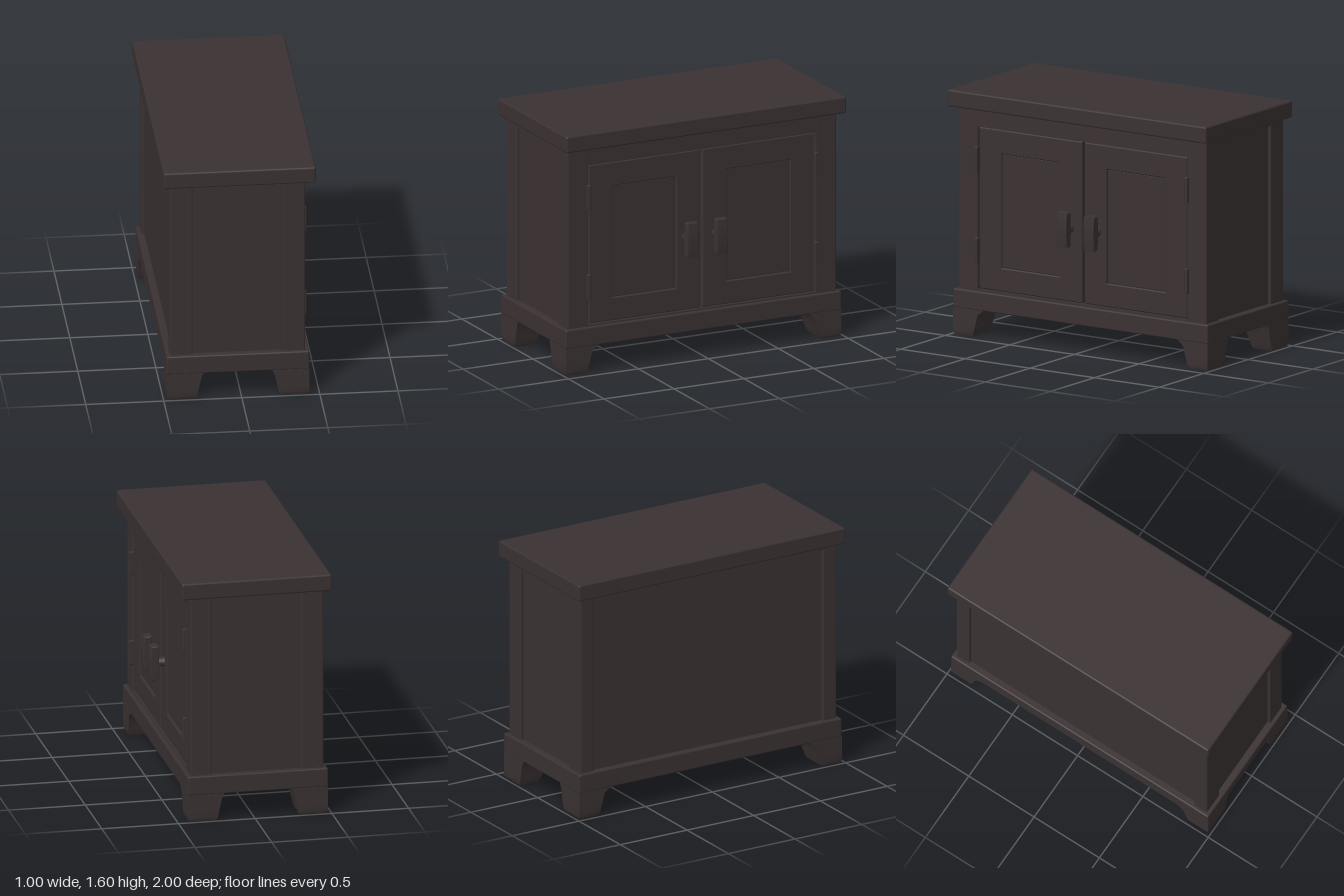
import * as THREE from 'three';
import { RoundedBoxGeometry } from 'three/addons/geometries/RoundedBoxGeometry.js';

export function createModel() {
  const cabinet = new THREE.Group();
  cabinet.name = 'cabinet';
  const wood = new THREE.MeshStandardMaterial({ color: 0x3a3132 });
  wood.name = 'darkWood';

  const add = (name, geometry, parent = cabinet) => {
    const mesh = new THREE.Mesh(geometry, wood);
    mesh.name = name;
    parent.add(mesh);
    return mesh;
  };
  // Block given by its extents, with worn edges when r > 0
  const block = (name, [x0, x1], [y0, y1], [z0, z1], r = 0, parent = cabinet) => {
    const size = [x1 - x0, y1 - y0, z1 - z0];
    const geo = r ? new RoundedBoxGeometry(...size, 2, r) : new THREE.BoxGeometry(...size);
    geo.translate((x0 + x1) / 2, (y0 + y1) / 2, (z0 + z1) / 2);
    return add(name, geo, parent);
  };
  // Extents mirrored in z, kept in ascending order
  const side = (s, a, b) => (s > 0 ? [a, b] : [-b, -a]);

  // Top, inner carcass and base plinth
  block('top', [-0.5, 0.475], [1.49, 1.6], [-1, 1], 0.012);
  block('carcass', [-0.435, 0.36], [0.25, 1.5], [-0.94, 0.94]);
  block('plinth', [-0.48, 0.435], [0.175, 0.3], [-0.985, 0.985], 0.01);

  // Rails above and below the doors, and above the side and back panels
  block('doorTopRail', [0.3, 0.408], [1.37, 1.5], [-0.85, 0.85]);
  block('doorBottomRail', [0.3, 0.408], [0.28, 0.31], [-0.85, 0.85]);
  block('backTopRail', [-0.452, -0.35], [1.46, 1.5], [-0.9, 0.9]);

  // Foot whose two inner faces taper toward the floor
  const foot = (sx, sz) => {
    const geo = new THREE.BoxGeometry(1, 1, 1, 1, 4, 1);
    const p = geo.attributes.position;
    const widths = [[0.185, 0.145], [0.195, 0.155], [0.205, 0.17], [0.222, 0.19], [0.237, 0.235]];
    const levels = [0.0, 0.02, 0.07, 0.145, 0.178];
    const outerX = sx > 0 ? 0.434 : -0.479;
    for (let i = 0; i < p.count; i++) {
      const k = Math.round((p.getY(i) + 0.5) * 4);
      const round = k === 0 ? 0.008 : 0;
      const inX = p.getX(i) * sx < 0, inZ = p.getZ(i) * sz < 0;
      p.setXYZ(i,
        outerX - sx * (inX ? widths[k][0] : round),
        levels[k],
        sz * (0.984 - (inZ ? widths[k][1] : round)));
    }
    geo.computeVertexNormals();
    add('foot', geo);
  };

  // Frame of a door with its opening; drawn in (-z, y), extruded toward +x
  const doorFrame = (s) => {
    const rect = (path, [a, b], y0, y1) =>
      path.moveTo(a, y0).lineTo(b, y0).lineTo(b, y1).lineTo(a, y1).closePath();
    const shape = rect(new THREE.Shape(), side(-s, 0.014, 0.8), 0.32, 1.36);
    shape.holes.push(rect(new THREE.Path(), side(-s, 0.175, 0.64), 0.46, 1.215));
    return new THREE.ExtrudeGeometry(shape, {
      depth: 0.04, bevelEnabled: true, bevelSize: 0.006, bevelThickness: 0.006, bevelSegments: 1,
    }).rotateY(Math.PI / 2).translate(0.355, 0, 0);
  };

  // Bowed pull seen from the end of the cabinet
  const gripShape = new THREE.Shape();
  gripShape.moveTo(0.45, 0.692);
  gripShape.lineTo(0.486, 0.686);
  gripShape.quadraticCurveTo(0.501, 0.795, 0.486, 0.903);
  gripShape.lineTo(0.45, 0.905);
  gripShape.quadraticCurveTo(0.443, 0.8, 0.45, 0.692);

  for (const s of [1, -1]) {
    foot(1, s);
    foot(-1, s);

    // Corner posts and the rail over each end panel
    block('frontPost', [0.27, 0.41], [0.28, 1.5], side(s, 0.81, 0.96), 0.01);
    block('backPost', [-0.455, -0.31], [0.28, 1.5], side(s, 0.86, 0.96), 0.01);
    block('endTopRail', [-0.33, 0.3], [1.46, 1.5], side(s, 0.9, 0.957));

    const door = new THREE.Group();
    door.name = s > 0 ? 'leftDoor' : 'rightDoor';
    cabinet.add(door);
    add('doorFrame', doorFrame(s), door);
    block('doorPanel', [0.35, 0.388], [0.466, 1.209], side(s, 0.181, 0.634), 0.005, door);

    // Hinges on the outer edge
    for (const y of [0.565, 1.16]) {
      block('hinge', [0.38, 0.432], [y - 0.082, y + 0.082], side(s, 0.8, 0.825), 0.006, door);
    }

    // Handle: grip on a short flared stem
    const grip = new THREE.ExtrudeGeometry(gripShape, {
      depth: 0.061, bevelEnabled: true, bevelSize: 0.006, bevelThickness: 0.01, bevelSegments: 2,
      curveSegments: 8,
    }).translate(0, 0, s * 0.105 - 0.03);
    add('handleGrip', grip, door);
    const stem = new THREE.CylinderGeometry(0.02, 0.035, 0.06, 12)
      .rotateZ(-Math.PI / 2).translate(0.425, 0.795, s * 0.105);
    add('handleStem', stem, door);
  }
  return cabinet;
}
